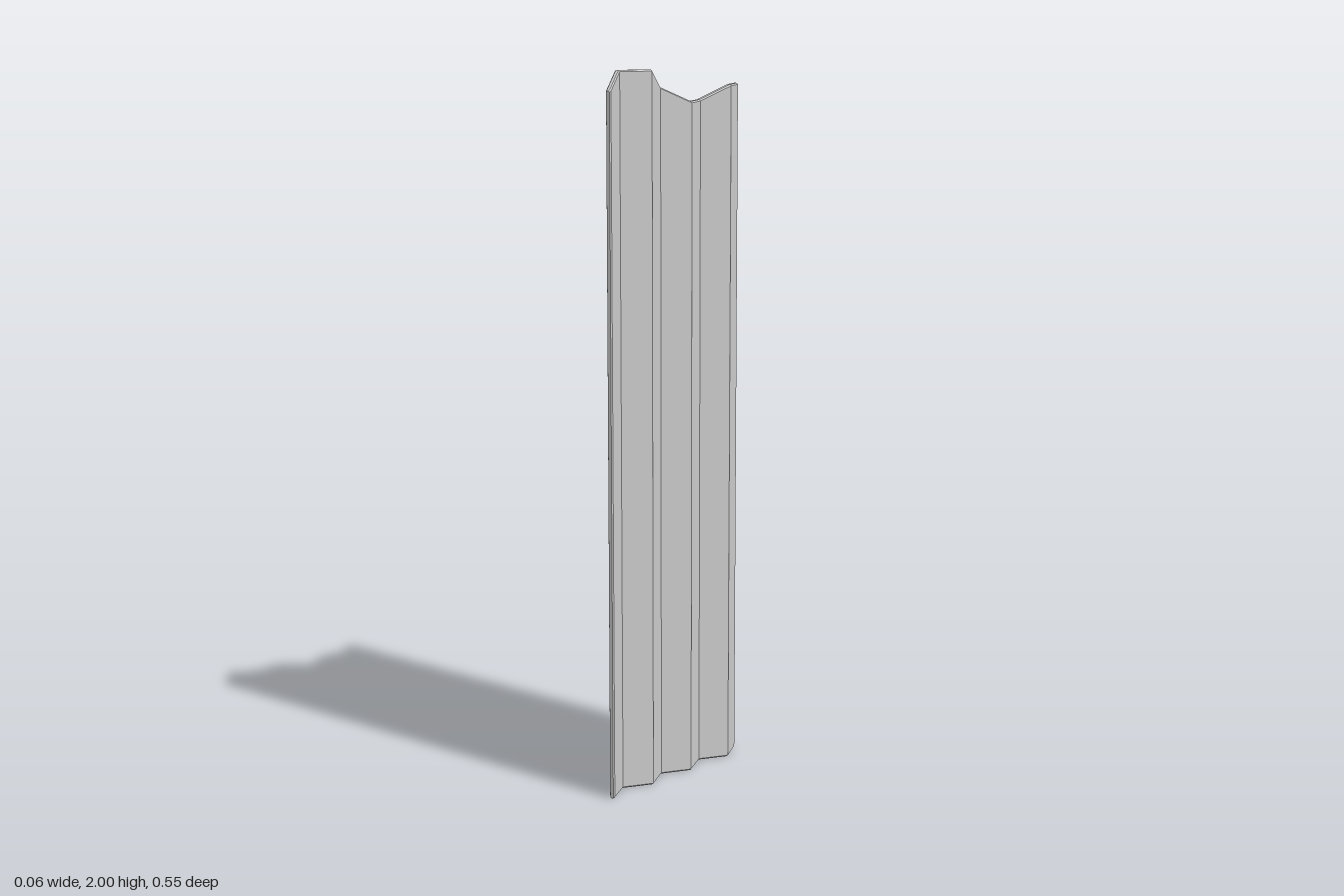
import * as THREE from 'three';

// Fold lines of the sheet from back to front: [x, z, top height, half thickness]
const FOLDS = [
  [-0.021, -0.276, 1.95, 0.009],
  [0.021, -0.2, 1.95, 0.009],
  [-0.021, -0.12, 1.91, 0.009],
  [0.021, -0.04, 1.91, 0.009],
  [-0.021, 0.04, 1.95, 0.009],
  [0.021, 0.118, 2.0, 0.009],
  [-0.021, 0.198, 2.0, 0.009],
  [0.018, 0.271, 1.953, 0.009],
  [0.02, 0.276, 1.95, 0.006], // slightly chamfered front end
];
const BEVEL = 0.004;

// Vertical section through the sheet, with chamfered top and bottom edges
function section([x, z, top, h]) {
  const b = BEVEL;
  return [
    [x - h + b, 0], [x + h - b, 0], [x + h, b], [x + h, top - b],
    [x + h - b, top], [x - h + b, top], [x - h, top - b], [x - h, b],
  ].map(([px, py]) => [px, py, z]);
}

export function createModel() {
  const rings = FOLDS.map(section);
  const n = rings[0].length;
  const pos = [];
  const tri = (a, b, c) => pos.push(...a, ...b, ...c);

  // Walls between neighbouring folds
  for (let i = 0; i < rings.length - 1; i++) {
    for (let j = 0; j < n; j++) {
      const k = (j + 1) % n;
      tri(rings[i][j], rings[i][k], rings[i + 1][k]);
      tri(rings[i][j], rings[i + 1][k], rings[i + 1][j]);
    }
  }
  // Back and front end caps
  const back = rings[0], front = rings[rings.length - 1];
  for (let j = 1; j < n - 1; j++) {
    tri(back[0], back[j + 1], back[j]);
    tri(front[0], front[j], front[j + 1]);
  }

  const geometry = new THREE.BufferGeometry();
  geometry.setAttribute('position', new THREE.Float32BufferAttribute(pos, 3));
  geometry.computeVertexNormals();

  const sheet = new THREE.Mesh(
    geometry,
    new THREE.MeshStandardMaterial({ color: 0xcccccc, flatShading: true })
  );
  sheet.name = 'corrugatedSheet';

  const group = new THREE.Group();
  group.name = 'corrugatedPanel';
  group.add(sheet);
  return group;
}
